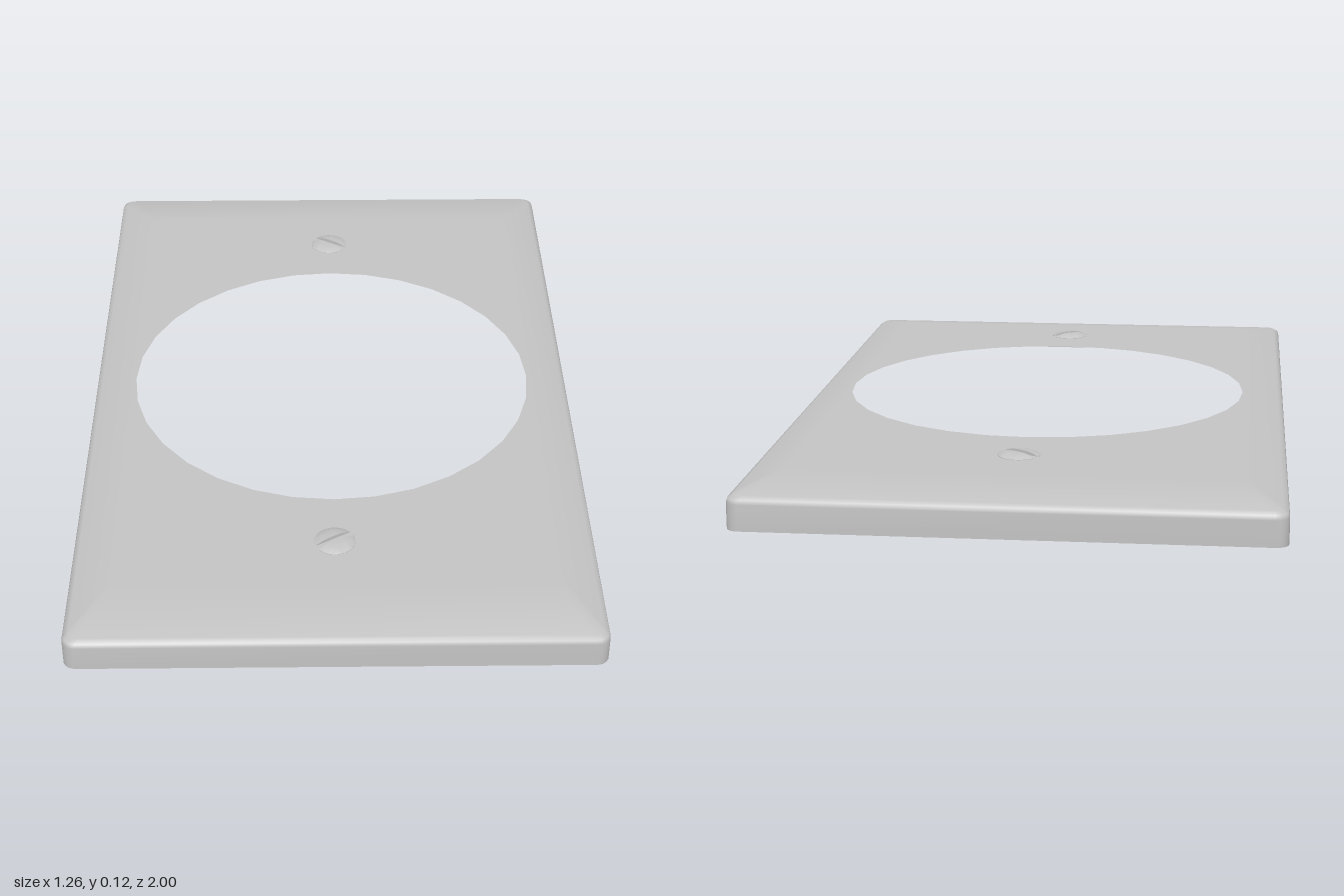
import * as THREE from 'three';
import { toCreasedNormals } from 'three/addons/utils/BufferGeometryUtils.js';

const TOP = 0.107, OPENING_R = 0.52, SCREW_Z = 0.68, SCREW_R = 0.05, SLOT = 0.008;

const metal = new THREE.MeshStandardMaterial({ color: 0xc3c3c3, side: THREE.DoubleSide });
metal.name = 'brushed grey';

// Skin a list of equally long rows of [x, y, z] points
function skin(rows, closed) {
  const n = rows[0].length, index = [];
  for (let j = 0; j < rows.length - 1; j++) {
    for (let i = 0; i < (closed ? n : n - 1); i++) {
      const a = j * n + i, c = j * n + (i + 1) % n;
      index.push(a, a + n, c, c, a + n, c + n);
    }
  }
  const geo = new THREE.BufferGeometry();
  geo.setAttribute('position', new THREE.Float32BufferAttribute(rows.flat(2), 3));
  geo.setIndex(index);
  geo.computeVertexNormals();
  return geo;
}

// Rounded rectangle at height y
function ring(hx, hz, r, y, steps = 5) {
  const pts = [];
  [[1, 1], [-1, 1], [-1, -1], [1, -1]].forEach(([sx, sz], q) => {
    for (let k = 0; k <= steps; k++) {
      const a = (q + k / steps) * Math.PI / 2;
      pts.push([sx * (hx - r) + r * Math.cos(a), y, sz * (hz - r) + r * Math.sin(a)]);
    }
  });
  return pts;
}

function mesh(name, geo) {
  const m = new THREE.Mesh(geo, metal);
  m.name = name;
  return m;
}

// Slotted screw: two half domes either side of a sunken slot
function screw(name, z, turn) {
  const g = new THREE.Group();
  g.name = name;
  const chord = Math.sqrt(SCREW_R ** 2 - SLOT ** 2), rows = [];
  const row = (v, y) => Array.from({ length: 17 }, (_, i) => {
    const x = chord * Math.sin((i / 16 - 0.5) * Math.PI);
    const pz = SLOT + v * (Math.sqrt(Math.max(0, SCREW_R ** 2 - x * x)) - SLOT);
    const r = Math.hypot(x, pz) / SCREW_R;
    return [x, y ?? TOP + 0.001 + 0.009 * (1 - r ** 3), pz];
  });
  rows.push(row(0, TOP));
  for (const v of [0, 0.25, 0.5, 0.7, 0.85, 1]) rows.push(row(v));
  rows.push(row(1, TOP - 0.004));
  const half = toCreasedNormals(skin(rows, false), 0.6);
  g.add(mesh('screwHeadHalf', half));
  const other = mesh('screwHeadHalf', half);
  other.rotation.y = Math.PI;
  g.add(other);
  const floor = mesh('screwSlot', new THREE.PlaneGeometry(chord * 2, SLOT * 2).rotateX(-Math.PI / 2));
  floor.position.y = TOP + 0.001;
  g.add(floor);
  g.position.z = z;
  g.rotation.y = turn;
  return g;
}

export function createModel() {
  const model = new THREE.Group();
  model.name = 'wallPlate';

  // Thin side wall, rounded shoulder and sloping border
  const rim = ring(0.525, 0.825, 0.01, TOP);
  const border = skin([
    ring(0.628, 1, 0.03, 0),
    ring(0.628, 1, 0.03, 0.062),
    ring(0.625, 0.997, 0.03, 0.072),
    ring(0.613, 0.985, 0.025, 0.08),
    rim,
  ], true);
  // Blend the slope smoothly into the flat face
  const normals = border.attributes.normal;
  for (let i = normals.count - rim.length; i < normals.count; i++) normals.setXYZ(i, 0, 1, 0);
  model.add(mesh('plateBorder', border));

  // Flat face with the round opening and the screw holes
  const face = new THREE.Shape(rim.map(([x, , z]) => new THREE.Vector2(x, z)));
  for (const [z, r] of [[0, OPENING_R], [SCREW_Z, 0.047], [-SCREW_Z, 0.047]]) {
    const hole = new THREE.Path();
    hole.absarc(0, z, r, 0, Math.PI * 2, true);
    face.holes.push(hole);
  }
  const faceGeo = new THREE.ShapeGeometry(face, 16).rotateX(-Math.PI / 2).translate(0, TOP, 0);
  model.add(mesh('plateFace', faceGeo));

  model.add(screw('backScrew', -SCREW_Z, -0.55), screw('frontScrew', SCREW_Z, 0.55));
  return model;
}
